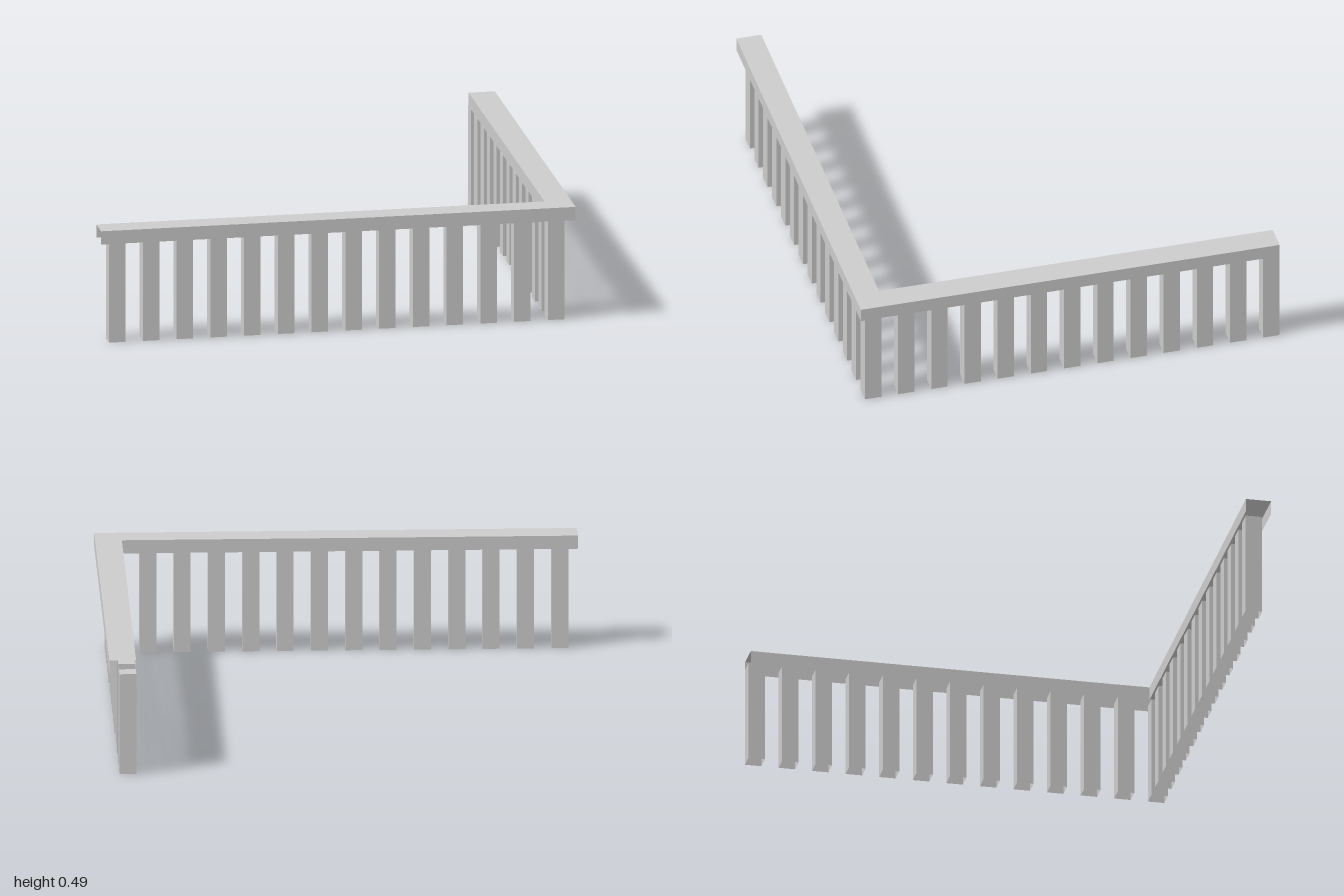
import * as THREE from 'three';

const material = new THREE.MeshStandardMaterial({
  color: 0xcccccc, flatShading: true, side: THREE.DoubleSide,
});

const RAIL_BOTTOM = 0.432, RAIL_TOP = 0.489;
const POST = 0.07, PITCH = 0.1422;
const CORNER_X = 0.923, CORNER_Z = 0.84; // centre of the corner post

// Upright panel between two plan points (x, z)
function wall(name, [x1, z1], [x2, z2]) {
  const height = RAIL_TOP - RAIL_BOTTOM;
  const panel = new THREE.PlaneGeometry(Math.hypot(x2 - x1, z2 - z1), height);
  panel.rotateY(-Math.atan2(z2 - z1, x2 - x1));
  panel.translate((x1 + x2) / 2, RAIL_BOTTOM + height / 2, (z1 + z2) / 2);
  const mesh = new THREE.Mesh(panel, material);
  mesh.name = name;
  return mesh;
}

// Square post with a top cap and an open foot
function postGeometry() {
  const box = new THREE.BoxGeometry(POST, RAIL_BOTTOM, POST);
  const index = Array.from(box.index.array);
  index.splice(18, 6); // remove the bottom face
  box.setIndex(index);
  box.clearGroups();
  return box.translate(0, RAIL_BOTTOM / 2, 0);
}

export function createModel() {
  const model = new THREE.Group();
  model.name = 'cornerRailing';

  // L-shaped handrail: a hollow channel, open below and at both ends
  const rail = new THREE.Group();
  rail.name = 'handrail';
  const outer = [[-1, 0.904], [1, 0.904], [1, -0.891]];
  const inner = [[0.889, -0.891], [0.889, 0.797], [-1, 0.797]];
  const outline = [...outer, ...inner].map(([x, z]) => new THREE.Vector2(x, -z));
  const topGeometry = new THREE.ShapeGeometry(new THREE.Shape(outline));
  topGeometry.rotateX(-Math.PI / 2).translate(0, RAIL_TOP, 0);
  const top = new THREE.Mesh(topGeometry, material);
  top.name = 'railTop';
  rail.add(
    top,
    wall('railFrontOuter', outer[0], outer[1]),
    wall('railSideOuter', outer[1], outer[2]),
    wall('railSideInner', inner[0], inner[1]),
    wall('railFrontInner', inner[1], inner[2]),
  );
  model.add(rail);

  // Posts along the front run and the side run, sharing the corner post
  const posts = new THREE.Group();
  posts.name = 'posts';
  const geometry = postGeometry();
  const addPost = (name, x, z) => {
    const post = new THREE.Mesh(geometry, material);
    post.name = name;
    post.position.set(x, 0, z);
    posts.add(post);
  };
  for (let i = 0; i < 14; i++) addPost(i ? 'frontPost' : 'cornerPost', CORNER_X - i * PITCH, CORNER_Z);
  for (let i = 1; i < 13; i++) addPost('sidePost', CORNER_X, CORNER_Z - i * PITCH);
  model.add(posts);

  return model;
}
